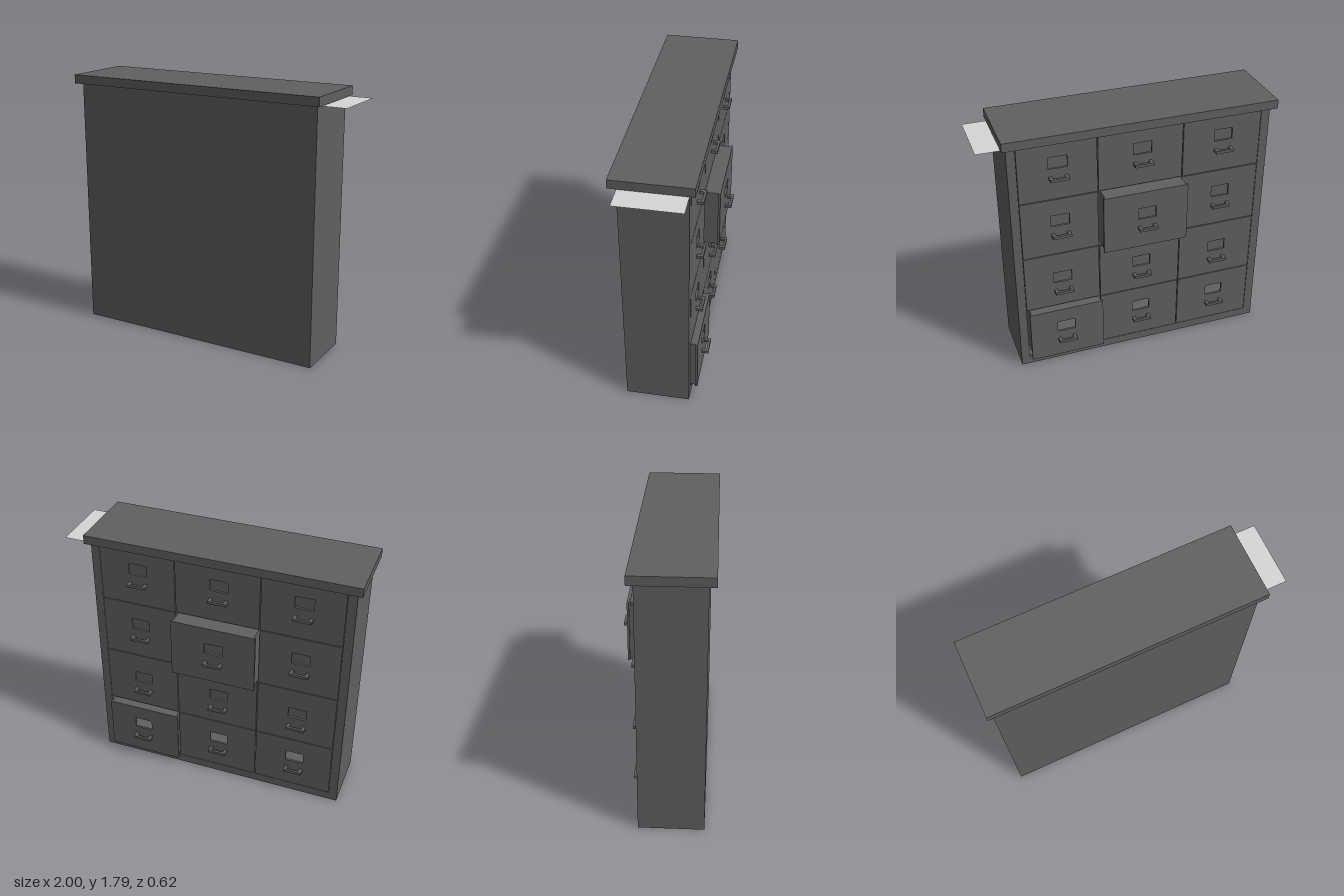
import * as THREE from 'three';

export function createModel() {
  const group = new THREE.Group();
  group.name = 'drawerCabinet';
  const steel = new THREE.MeshStandardMaterial({ color: 0x606060 });
  steel.name = 'dark steel';
  const pale = new THREE.MeshStandardMaterial({ color: 0xd6d6d6, side: THREE.DoubleSide });
  pale.name = 'pale liner';

  // Box given by its min and max corners
  function box(parent, name, [x0, y0, z0], [x1, y1, z1]) {
    const mesh = new THREE.Mesh(new THREE.BoxGeometry(x1 - x0, y1 - y0, z1 - z0), steel);
    mesh.position.set((x0 + x1) / 2, (y0 + y1) / 2, (z0 + z1) / 2);
    mesh.name = name;
    parent.add(mesh);
  }

  // Upright panel with one rectangular opening, rectangles as [x0, y0, x1, y1]
  function panel(parent, name, outer, hole, z, depth) {
    const corners = ([x0, y0, x1, y1]) =>
      [[x0, y0], [x1, y0], [x1, y1], [x0, y1]].map(p => new THREE.Vector2(...p));
    const shape = new THREE.Shape(corners(outer));
    shape.holes.push(new THREE.Path(corners(hole).reverse()));
    const mesh = new THREE.Mesh(new THREE.ExtrudeGeometry(shape, { depth, bevelEnabled: false }), steel);
    mesh.position.z = z;
    mesh.name = name;
    parent.add(mesh);
  }

  // Hollow carcass and overhanging top
  const L = -0.965, R = 0.815, H = 1.735, BACK = -0.165, FRONT = 0.265, T = 0.02;
  box(group, 'plainFrontPanel', [L, 0, FRONT - T], [R, H, FRONT]);
  box(group, 'rightSide', [L, 0, BACK], [L + T, H, FRONT - T]);
  box(group, 'leftSide', [R - T, 0, BACK], [R, H, FRONT - T]);
  box(group, 'base', [L + T, 0, BACK + T], [R - T, T, FRONT - T]);
  panel(group, 'drawerFrame', [L + T, 0, R - T, H], [-0.905, 0.06, 0.757, 1.73], BACK, T);
  box(group, 'topSlab', [-1, H, -0.205], [0.845, 1.795, 0.31]);

  // Thin sheet under the top, sticking out at one end
  const sheet = new THREE.Mesh(new THREE.PlaneGeometry(1.6, 0.425), pale);
  sheet.rotation.x = -Math.PI / 2;
  sheet.position.set(0.2, 1.732, 0.0425);
  sheet.name = 'linerSheet';
  group.add(sheet);

  // Drawers: front with label window, bar handle, and a sleeve when pulled out
  const columns = [[-0.902, -0.357], [-0.351, 0.226], [0.232, 0.754]];
  const handleX = [-0.64, -0.075, 0.49];
  const rows = [[0.063, 0.463], [0.469, 0.892], [0.898, 1.317], [1.323, 1.727]];
  const handleY = [0.205, 0.595, 1.05, 1.48];

  function drawer(c, r, pull) {
    const d = new THREE.Group();
    d.name = `drawer${c + 1}x${r + 1}`;
    let [x0, x1] = columns[c], [y0, y1] = rows[r];
    if (c === 1 && pull) { x0 = -0.36; x1 = 0.225; }
    if (c === 2 && pull) { x0 = 0.222; x1 = 0.745; y1 = 0.455; }
    const hx = handleX[c], hy = handleY[r], z = BACK - pull;
    panel(d, 'drawerFront', [x0, y0, x1, y1],
      [hx - 0.063, hy + 0.065, hx + 0.063, hy + 0.147], z, 0.015);

    // Handle: two legs and a bar
    for (const s of [-1, 1]) {
      const lx = hx + s * 0.053;
      box(d, 'handleLeg', [lx - 0.011, hy - 0.01, z - 0.03], [lx + 0.011, hy + 0.01, z]);
    }
    box(d, 'handleBar', [hx - 0.064, hy - 0.01, z - 0.045], [hx + 0.064, hy + 0.01, z - 0.029]);

    // Sleeve behind a pulled front
    if (pull) {
      const i = 0.012, t = 0.006;
      panel(d, 'drawerSleeve', [x0 + i, y0 + 0.002, x1 - i, y1 - 0.002],
        [x0 + i + t, y0 + t, x1 - i - t, y1 - t], z + 0.015, -z);
    }
    group.add(d);
  }

  for (let c = 0; c < 3; c++) {
    for (let r = 0; r < 4; r++) {
      drawer(c, r, c === 1 && r === 2 ? 0.102 : c === 2 && r === 0 ? 0.045 : 0);
    }
  }
  return group;
}
